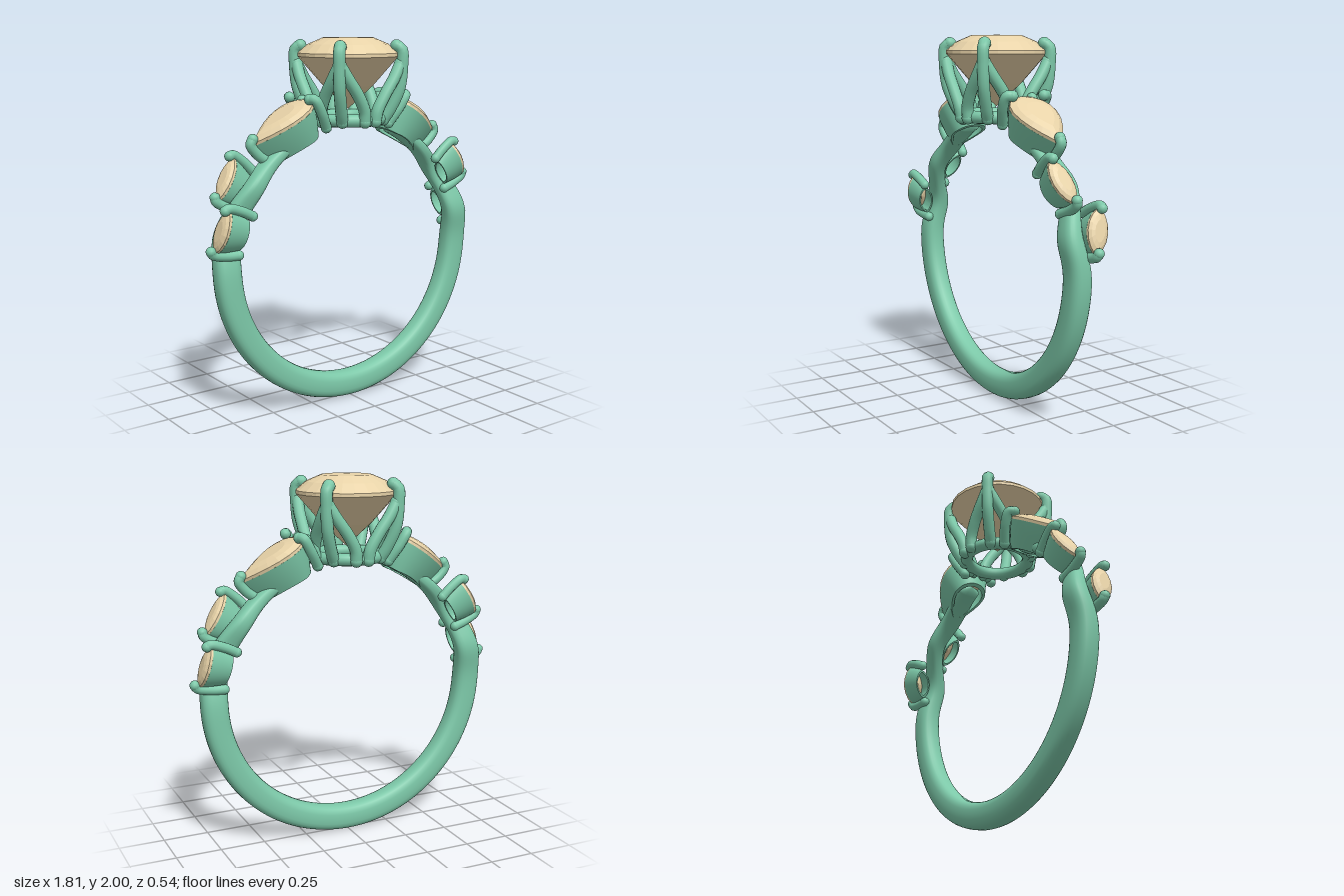
import * as THREE from 'three';
import { mergeGeometries, toCreasedNormals } from 'three/addons/utils/BufferGeometryUtils.js';

const metal = new THREE.MeshStandardMaterial({ color: 0x7cc8a8 });
const stone = new THREE.MeshStandardMaterial({ color: 0xe8d3a8, flatShading: true });
const CY = 0.84;      // centre height of the finger hole
const HOLE = 0.69;    // radius of the finger hole
const DEG = Math.PI / 180;
const V = (x, y, z) => new THREE.Vector3(x, y, z);

function named(name, geometry, material) {
  const mesh = new THREE.Mesh(geometry, material);
  mesh.name = name;
  return mesh;
}

// Skin over a list of closed cross-sections with equal point counts
function loft(rings) {
  const n = rings[0].length, pos = [], idx = [];
  rings.forEach(r => r.forEach(p => pos.push(p.x, p.y, p.z)));
  for (let i = 0; i < rings.length - 1; i++) {
    for (let j = 0; j < n; j++) {
      const a = i * n + j, b = i * n + (j + 1) % n, c = b + n, d = a + n;
      idx.push(a, d, c, a, c, b);
    }
  }
  const g = new THREE.BufferGeometry();
  g.setAttribute('position', new THREE.Float32BufferAttribute(pos, 3));
  g.setIndex(idx);
  g.computeVertexNormals();
  return g;
}

// Outline functions return [x, z] for an angle t
const round = r => t => [r * Math.cos(t), r * Math.sin(t)];
const marquise = (l, w) => t => [l * Math.cos(t), w * Math.sin(t) * Math.abs(Math.sin(t)) ** 0.4];
const pear = (l, w) => t => [l * Math.cos(t), w * 1.33 * Math.sin(t) * Math.sin(t / 2)];

// One scaled copy of an outline at height y
function ring(outline, n, scale, y) {
  return Array.from({ length: n }, (_, j) => {
    const [x, z] = outline(j / n * Math.PI * 2);
    return V(x * scale, y, z * scale);
  });
}

// Faceted stone from [scale, height] steps
function gem(name, outline, n, steps) {
  const g = loft(steps.map(([s, y]) => ring(outline, n, s, y))).toNonIndexed();
  g.computeVertexNormals();
  return named(name, g, stone);
}

// Rounded wire through points
function wire(name, points, r) {
  const curve = new THREE.CatmullRomCurve3(points);
  const parts = [new THREE.TubeGeometry(curve, 24, r, 12)];
  for (const p of [points[0], points[points.length - 1]]) {
    parts.push(new THREE.SphereGeometry(r * 1.05, 12, 8).translate(p.x, p.y, p.z));
  }
  return named(name, mergeGeometries(parts), metal);
}

// Open basket wall below a stone, kept clear of the finger hole
function basket(name, outline, depth, matrix) {
  const n = 40, inverse = matrix.clone().invert();
  const steps = [[0.72, -depth], [0.9, -depth * 0.5], [1, -0.012], [0.88, -0.012], [0.6, -depth], [0.72, -depth]];
  const rings = steps.map(([s, y]) => ring(outline, n, s, y).map(p => {
    p.applyMatrix4(matrix);
    const r = Math.hypot(p.x, p.y - CY), k = Math.max(r, HOLE) / r;
    p.x *= k;
    p.y = CY + (p.y - CY) * k;
    return p.applyMatrix4(inverse);
  }));
  const mesh = named(name, toCreasedNormals(loft(rings), 0.7), metal);
  mesh.material = metal;
  return mesh;
}

// Small marquise stone set on the shoulder at a given angle
function marquiseSetting(angle, z, twist, l) {
  const g = new THREE.Group();
  g.name = 'marquiseSetting';
  g.rotation.set(0, twist, angle * DEG - Math.PI / 2, 'ZYX');
  g.position.set(Math.cos(angle * DEG) * 0.855, CY + Math.sin(angle * DEG) * 0.855, z);
  g.updateMatrix();
  const outline = marquise(l, 0.06);
  g.add(gem('marquiseStone', outline, 16,
    [[0, -0.07], [1, -0.012], [1, 0.002], [0.78, 0.014], [0.5, 0.02], [0, 0.02]]));
  g.add(basket('marquiseBasket', outline, 0.13, g.matrix));
  for (const s of [-1, 1]) {
    g.add(wire('marquiseProng', [V(s * l * 0.97, 0.022, 0), V(s * l * 1.1, 0.005, 0),
      V(s * l * 1.08, -0.07, 0), V(s * l * 0.95, -0.14, 0)], 0.026));
  }
  return g;
}

// Pear stone beside the head, pointing down the shoulder
function pearSetting() {
  const g = new THREE.Group();
  g.name = 'pearSetting';
  g.position.set(0.43, 1.575, 0);
  g.rotation.z = -32 * DEG;
  g.updateMatrix();
  const outline = pear(0.2, 0.13);
  g.add(gem('pearStone', outline, 20,
    [[0, -0.1], [1, -0.012], [1, 0.004], [0.8, 0.024], [0.52, 0.036], [0, 0.036]]));
  g.add(basket('pearBasket', outline, 0.17, g.matrix));
  for (const s of [-1, 1]) {
    g.add(wire('pearProng', [V(-0.16, 0.035, s * 0.095), V(-0.172, 0.025, s * 0.122),
      V(-0.172, -0.05, s * 0.12), V(-0.17, -0.15, s * 0.09)], 0.028));
    g.add(wire('pearSideWire', [V(-0.2, -0.01, s * 0.06), V(-0.205, -0.07, s * 0.065), V(-0.19, -0.14, s * 0.06)], 0.028));
  }
  g.add(wire('pearTipProng', [V(0.185, 0.022, 0), V(0.21, 0.005, 0), V(0.205, -0.06, 0), V(0.18, -0.12, 0)], 0.027));
  return g;
}

// Shank with a flat inside, weaving between the shoulder stones
function shank() {
  const bump = (x, c, w) => Math.exp(-(((x - c) / w) ** 2));
  const rings = [], N = 160, M = 24, from = 112, to = 428;
  for (let i = 0; i <= N; i++) {
    const a = from + (to - from) * i / N;
    const side = Math.cos(a * DEG) >= 0 ? 1 : -1;
    const e = Math.asin(Math.sin(a * DEG)) / DEG;      // elevation on either side
    const up = THREE.MathUtils.smoothstep(e, 5, 55);
    const outer = 0.835 - 0.075 * up;
    const half = 0.062 - 0.018 * bump(e, 26, 16);
    const z0 = side * 0.033 * (bump(e, 13, 9) - bump(e, 34, 9));
    const mid = (HOLE + outer) / 2, h = (outer - HOLE) / 2;
    const closed = i === 0 || i === N ? 0 : 1;
    rings.push(Array.from({ length: M }, (_, j) => {
      const t = j / M * Math.PI * 2, c = Math.cos(t), s = Math.sin(t);
      const r = mid + closed * h * Math.sign(c) * Math.abs(c) ** 0.75;
      const z = z0 + closed * half * Math.sign(s) * Math.abs(s) ** 0.75;
      return V(Math.cos(a * DEG) * r, CY + Math.sin(a * DEG) * r, z);
    }));
  }
  return named('shank', loft(rings), metal);
}

// Four-prong head with a swooping pair of wires on each side
function head() {
  const g = new THREE.Group();
  g.name = 'head';
  const main = gem('centreStone', round(0.27), 24,
    [[0, 1.62], [0.5, 1.745], [1, 1.9], [1, 1.918], [0.8, 1.964], [0.5, 1.998], [0, 2]]);
  g.add(main);
  const base = named('headBase', new THREE.TorusGeometry(0.175, 0.034, 12, 48), metal);
  base.rotation.x = Math.PI / 2;
  base.position.y = 1.57;
  g.add(base);
  for (let k = 0; k < 4; k++) {
    const quarter = new THREE.Group();
    quarter.name = 'headQuarter';
    quarter.rotation.y = k * Math.PI / 2;
    quarter.add(wire('prong', [V(0.183, 1.955, 0.183), V(0.203, 1.935, 0.203), V(0.205, 1.85, 0.205),
      V(0.195, 1.73, 0.195), V(0.16, 1.62, 0.16), V(0.135, 1.565, 0.135)], 0.032));
    for (const s of [-1, 1]) {
      quarter.add(wire('swoopWire', [V(s * 0.195, 1.86, 0.2), V(s * 0.15, 1.79, 0.208),
        V(s * 0.085, 1.7, 0.21), V(s * 0.042, 1.62, 0.205), V(s * 0.035, 1.565, 0.198)], 0.032));
    }
    g.add(quarter);
  }
  return g;
}

export function createModel() {
  const model = new THREE.Group();
  model.name = 'ring';
  model.add(shank(), head());
  // The two shoulders are half-turn copies of each other
  for (const turn of [0, Math.PI]) {
    const shoulder = new THREE.Group();
    shoulder.name = turn ? 'rightShoulder' : 'leftShoulder';
    shoulder.rotation.y = turn;
    shoulder.add(pearSetting(),
      marquiseSetting(32.3, 0.068, 0.25, 0.122),
      marquiseSetting(14.6, -0.07, -0.25, 0.115));
    model.add(shoulder);
  }
  return model;
}
